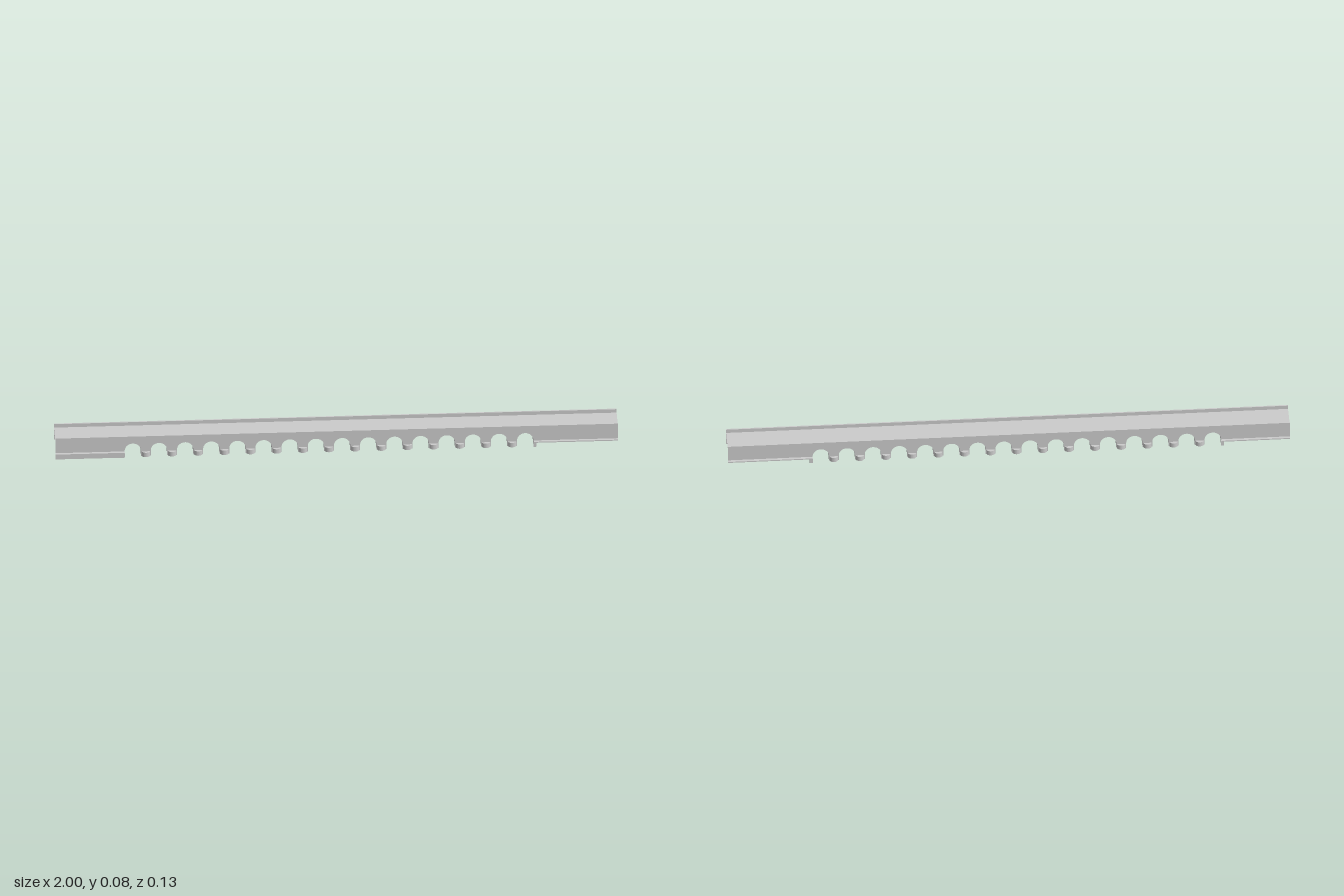
import * as THREE from 'three';

const ARCHES = 16, PITCH = 0.093, FIRST = -0.725;
const R = 0.029, SPRING = 0.022;      // arch radius and springing height
const WALL_Z = 0.0505, WALL_T = 0.005;
const START = -0.765, END = 0.71;     // ends of the arcade
const LOW = 0.019, TOP = 0.08;        // underside of approach walls, parapet top

const material = new THREE.MeshStandardMaterial({ color: 0xcccccc, side: THREE.DoubleSide });

function addMesh(parent, name, geometry, x = 0, y = 0, z = 0) {
  const mesh = new THREE.Mesh(geometry, material);
  mesh.name = name;
  mesh.position.set(x, y, z);
  parent.add(mesh);
  return mesh;
}

const addBox = (parent, name, x0, x1, y0, y1, z0, z1) =>
  addMesh(parent, name, new THREE.BoxGeometry(x1 - x0, y1 - y0, z1 - z0),
    (x0 + x1) / 2, (y0 + y1) / 2, (z0 + z1) / 2);

// Side wall outline with every arch cut out of its lower edge
function wallGeometry() {
  const s = new THREE.Shape();
  s.moveTo(-1, TOP);
  s.lineTo(-1, LOW);
  s.lineTo(START, LOW);
  s.lineTo(START, 0);
  for (let i = 0; i < ARCHES; i++) {
    const x = FIRST + i * PITCH;
    s.lineTo(x - R, 0);
    s.lineTo(x - R, SPRING);
    s.absarc(x, SPRING, R, Math.PI, 0, true);
    s.lineTo(x + R, 0);
  }
  s.lineTo(END, 0);
  s.lineTo(END, LOW);
  s.lineTo(1, LOW);
  s.lineTo(1, TOP);
  s.closePath();
  const g = new THREE.ExtrudeGeometry(s, { depth: WALL_T, bevelEnabled: false, curveSegments: 16 });
  return g.translate(0, 0, -WALL_T / 2);
}

// Curved lining of one arch: straight legs with a half-round crown
function vaultGeometry() {
  const n = 18;
  const g = new THREE.PlaneGeometry(1, 2 * WALL_Z, n, 1);
  const p = g.attributes.position;
  for (let i = 0; i < p.count; i++) {
    const k = Math.round((p.getX(i) + 0.5) * n);
    const z = p.getY(i);
    const a = Math.PI * (1 - (Math.min(Math.max(k, 1), n - 1) - 1) / (n - 2));
    const y = k === 0 || k === n ? 0 : SPRING + R * Math.sin(a);
    p.setXYZ(i, R * Math.cos(a), y, z);
  }
  g.computeVertexNormals();
  return g;
}

// Pier footing with rounded cutwaters at both ends
function footingGeometry() {
  const r = 0.0165, straight = 0.0635 - r;
  const s = new THREE.Shape();
  s.absarc(0, straight, r, 0, Math.PI, false);
  s.absarc(0, -straight, r, Math.PI, 2 * Math.PI, false);
  s.closePath();
  return new THREE.ExtrudeGeometry(s, { depth: 0.018, bevelEnabled: false, curveSegments: 10 })
    .rotateX(-Math.PI / 2);
}

export function createModel() {
  const model = new THREE.Group();
  model.name = 'viaduct';

  // Parapet and spandrel walls with the footing flanges of the approaches
  const wall = wallGeometry();
  for (const side of [-1, 1]) {
    const name = side > 0 ? 'front' : 'back';
    addMesh(model, name + 'Wall', wall, 0, 0, side * WALL_Z);
    const z0 = side > 0 ? 0.048 : -0.063, z1 = side > 0 ? 0.063 : -0.048;
    addBox(model, name + 'RightFlange', -1, START + 0.01, 0.016, 0.02, z0, z1);
    addBox(model, name + 'LeftFlange', END - 0.01, 1, 0.016, 0.02, z0, z1);
  }

  // Plinth plate under the front of one approach
  addBox(model, 'approachSkirt', -1, START + 0.01, 0, 0.02, 0.0595, 0.063);

  // Thin roadway slab
  addBox(model, 'deck', -1, 1, 0.0645, 0.066, -0.049, 0.049);

  // Arch vaults and the piers between them
  const vault = vaultGeometry(), footing = footingGeometry();
  const arcade = new THREE.Group();
  arcade.name = 'arcade';
  model.add(arcade);
  for (let i = 0; i < ARCHES; i++) {
    const x = FIRST + i * PITCH;
    addMesh(arcade, 'archVault', vault, x);
    if (i < ARCHES - 1) addMesh(arcade, 'pierFooting', footing, x + PITCH / 2);
  }

  // End abutments
  addBox(arcade, 'rightAbutment', START, FIRST - R, 0, 0.018, -0.0635, 0.0635);
  addBox(arcade, 'leftAbutment', FIRST + (ARCHES - 1) * PITCH + R, END, 0, 0.018, -0.0635, 0.0635);
  return model;
}
